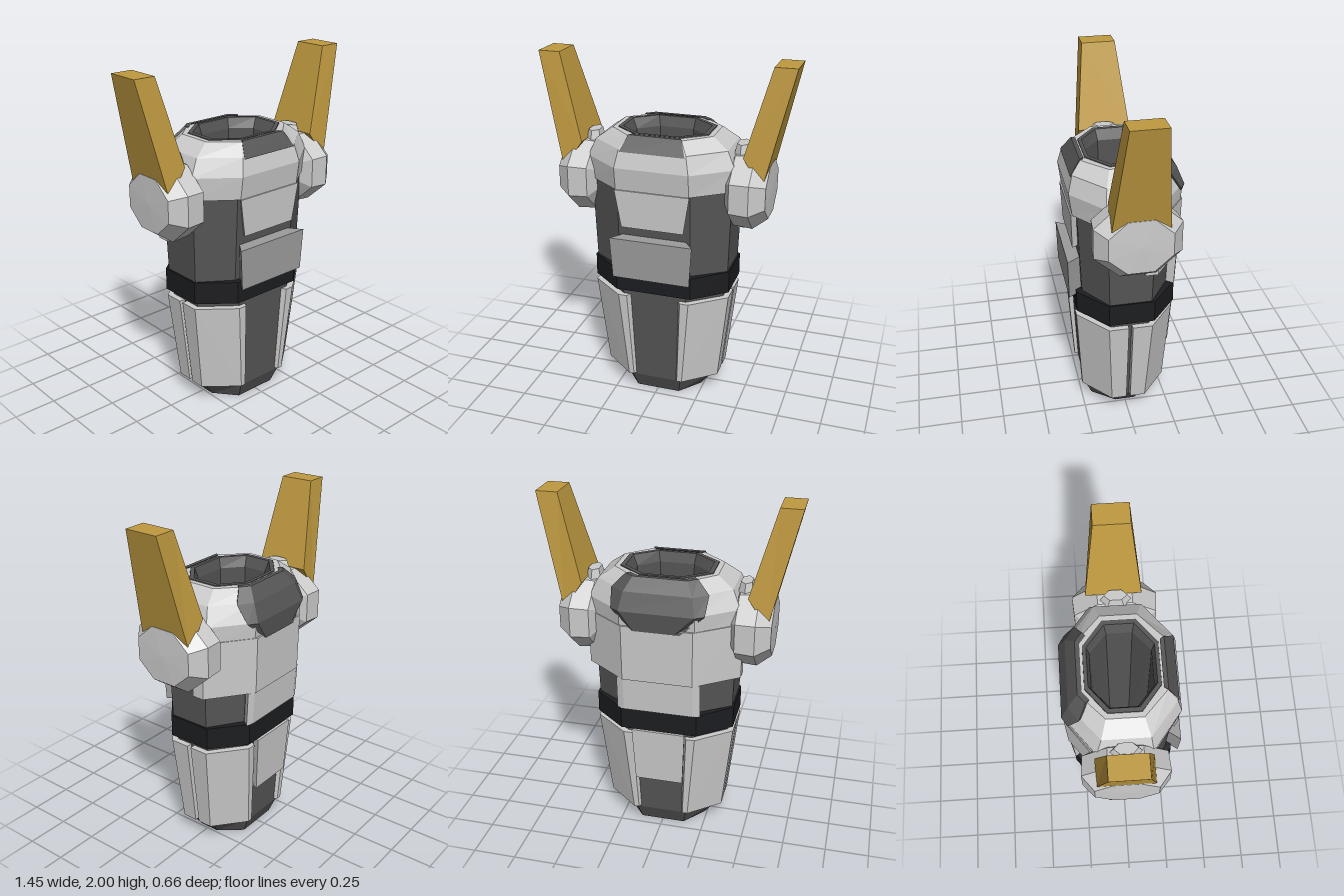
import * as THREE from 'three';

const mat = (color) => new THREE.MeshStandardMaterial({ color, flatShading: true });
const light = mat(0xcccccc), mid = mat(0x9c9c9c), dark = mat(0x555555), black = mat(0x1c1d20), gold = mat(0xc09a40);

// Eight-sided cross-section: half sizes hx, hz; flat half widths fx, fz
function oct(y, hx, hz, fx, fz, zc = 0) {
  return [[fx, hz], [hx, fz], [hx, -fz], [fx, -hz], [-fx, -hz], [-hx, -fz], [-hx, fz], [-fx, hz]]
    .map(([x, z]) => [x, y, z + zc]);
}

// Skin a stack of closed rings; caps join each point to its partner across the ring
function loft(rings, capped = false) {
  const pos = [];
  const quad = (a, b, c, d) => pos.push(...a, ...b, ...c, ...a, ...c, ...d);
  const n = rings[0].length;
  for (let i = 0; i < rings.length - 1; i++) {
    for (let j = 0; j < n; j++) {
      const k = (j + 1) % n;
      quad(rings[i][j], rings[i][k], rings[i + 1][k], rings[i + 1][j]);
    }
  }
  if (capped) {
    const lo = rings[0], hi = rings[rings.length - 1];
    for (let j = 0; j < n / 2 - 1; j++) {
      quad(lo[n - 1 - j], lo[n - 2 - j], lo[j + 1], lo[j]);
      quad(hi[j], hi[j + 1], hi[n - 2 - j], hi[n - 1 - j]);
    }
  }
  const g = new THREE.BufferGeometry();
  g.setAttribute('position', new THREE.Float32BufferAttribute(pos, 3));
  g.computeVertexNormals();
  return g;
}

// Curved plate: rows of [y, [x, z]...], thickened towards the axis
function plate(rows, inner = 0.88) {
  return loft(rows.map(([y, ...path]) => [
    ...path.map(([x, z]) => [x, y, z]),
    ...path.map(([x, z]) => [x * inner, y, z * inner]).reverse(),
  ]), true);
}

// Path across the back or front, given its +x half
const across = (half) => [...half, ...half.slice().reverse().map(([x, z]) => [-x, z])];
const acrossFront = (half) => across(half.map(([x, z]) => [-x, z]));

export function createModel() {
  const root = new THREE.Group();
  const add = (name, geo, material, parent = root) => {
    const m = new THREE.Mesh(geo, material);
    m.name = name;
    parent.add(m);
    return m;
  };

  // Hollow body, outer wall up and inner wall back down
  add('body', loft([
    oct(0, 0.235, 0.19, 0.13, 0.06),
    oct(0.1, 0.305, 0.23, 0.15, 0.09),
    oct(0.69, 0.375, 0.255, 0.19, 0.11),
    oct(0.82, 0.395, 0.245, 0.21, 0.12),
    oct(1.31, 0.41, 0.265, 0.21, 0.13),
    oct(1.52, 0.33, 0.24, 0.17, 0.11),
    oct(1.58, 0.265, 0.205, 0.13, 0.09),
    oct(1.61, 0.26, 0.2, 0.12, 0.09),
    oct(1.61, 0.235, 0.18, 0.11, 0.08),
    oct(1.55, 0.21, 0.165, 0.1, 0.07),
    oct(0, 0.205, 0.16, 0.1, 0.06),
    oct(0, 0.235, 0.19, 0.13, 0.06),
  ]), dark);

  // Waist band
  add('waistBand', loft([
    oct(0.69, 0.36, 0.25, 0.19, 0.11),
    oct(0.69, 0.405, 0.285, 0.22, 0.13, -0.005),
    oct(0.82, 0.405, 0.285, 0.22, 0.13, -0.005),
    oct(0.82, 0.36, 0.24, 0.19, 0.11),
  ]), black);

  // Chest and collar shell
  add('chestShell', loft([
    oct(1.31, 0.39, 0.25, 0.19, 0.12),
    oct(1.31, 0.425, 0.3, 0.21, 0.14, -0.01),
    oct(1.44, 0.425, 0.315, 0.21, 0.15, -0.008),
    oct(1.54, 0.38, 0.282, 0.19, 0.13),
    oct(1.605, 0.29, 0.23, 0.15, 0.1),
    oct(1.605, 0.255, 0.195, 0.12, 0.09),
  ]), light);

  // Chest bib, and the dark inset in the collar above it
  add('chestBib', plate([
    [1.09, ...acrossFront([[0.18, 0.29]])],
    [1.31, ...acrossFront([[0.215, 0.298]])],
  ], 0.8), light);
  add('collarInset', plate([
    [1.53, ...acrossFront([[0.185, 0.291]])],
    [1.612, ...acrossFront([[0.15, 0.233]])],
  ], 0.9), dark);

  // Belly plate
  add('bellyPlate', plate([
    [0.79, ...acrossFront([[0.225, 0.322]])],
    [1.03, ...acrossFront([[0.24, 0.327]])],
  ], 0.75), mid);

  // Back armour
  add('backShell', plate([
    [1.02, ...across([[0.44, -0.07], [0.44, -0.14], [0.2, -0.318]])],
    [1.35, ...across([[0.44, -0.07], [0.44, -0.15], [0.2, -0.325]])],
  ]), light);
  add('backInset', plate([
    [1.33, ...across([[0.13, -0.329], [0.1, -0.329]])],
    [1.44, ...across([[0.26, -0.302], [0.21, -0.333]])],
    [1.54, ...across([[0.27, -0.239], [0.19, -0.292]])],
    [1.61, ...across([[0.2, -0.198], [0.15, -0.238]])],
  ], 0.9), dark);
  add('lowerBackPlate', plate([
    [0.82, ...across([[0.24, -0.285], [0.2, -0.3]])],
    [1.02, ...across([[0.24, -0.295], [0.2, -0.31]])],
  ], 0.8), light);
  add('rearThighPlate', plate([
    [0.35, ...across([[0.14, -0.285]])],
    [0.69, ...across([[0.155, -0.305]])],
  ], 0.8), light);

  // Four skirt panels, mirrored both ways
  const panel = plate([
    [0.11, [0.135, 0.25], [0.165, 0.25], [0.345, 0.1], [0.345, 0.012]],
    [0.655, [0.16, 0.282], [0.21, 0.282], [0.405, 0.125], [0.405, 0.012]],
  ], 0.86);
  for (const sx of [1, -1]) for (const sz of [1, -1]) {
    add('skirtPanel', panel, light).scale.set(sx, 1, sz);
  }

  // Shoulders and horns
  const pad = new THREE.LatheGeometry(
    [[0, 0.33], [0.13, 0.36], [0.22, 0.41], [0.228, 0.52], [0.165, 0.6], [0, 0.605]]
      .map(([r, x]) => new THREE.Vector2(r, x)), 8, Math.PI / 8);
  pad.rotateZ(-Math.PI / 2).scale(1, 1, 1.13).translate(0, 1.3, -0.008);
  const mount = new THREE.CylinderGeometry(0.05, 0.1, 0.16, 6).scale(0.7, 1, 1.3).translate(0.435, 1.475, -0.005);
  const horn = loft([
    [[0.465, 1.51, 0.14], [0.575, 1.35, 0.15], [0.575, 1.35, -0.17], [0.465, 1.51, -0.17]],
    [[0.6, 2, 0.088], [0.725, 2, 0.088], [0.725, 2, -0.108], [0.6, 2, -0.108]],
  ], true);
  for (const [side, s] of [['left', 1], ['right', -1]]) {
    const g = new THREE.Group();
    g.name = side + 'Shoulder';
    g.scale.x = s;
    add('shoulderPad', pad, light, g);
    add('shoulderMount', mount, light, g);
    add('horn', horn, gold, g);
    root.add(g);
  }
  return root;
}
